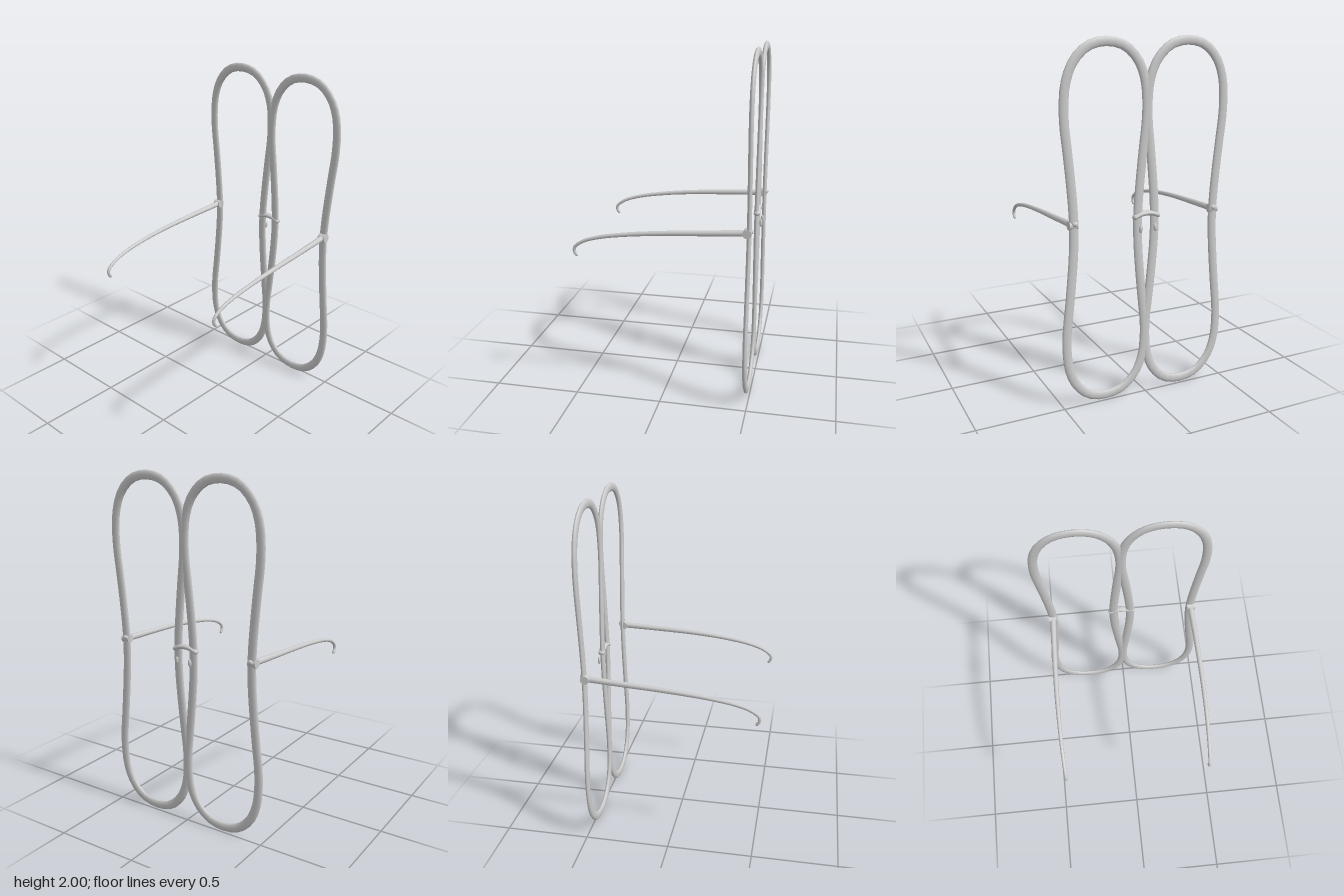
import * as THREE from 'three';

const material = new THREE.MeshStandardMaterial({ color: 0xcccccc });
const FRAME_Z = -0.483;

function add(group, name, geometry, x = 0, y = 0, z = 0) {
  const mesh = new THREE.Mesh(geometry, material);
  mesh.name = name;
  mesh.position.set(x, y, z);
  group.add(mesh);
  return mesh;
}

// Smooth tube through the points, narrowing from r0 to r1
function taperedTube(points, r0, r1, segments, sides) {
  const curve = new THREE.CatmullRomCurve3(points);
  const geometry = new THREE.TubeGeometry(curve, segments, r0, sides);
  const pos = geometry.attributes.position;
  const v = new THREE.Vector3();
  for (let i = 0; i <= segments; i++) {
    const u = i / segments;
    const centre = curve.getPointAt(u);
    const k = THREE.MathUtils.lerp(1, r1 / r0, u);
    for (let j = 0; j <= sides; j++) {
      const n = i * (sides + 1) + j;
      v.fromBufferAttribute(pos, n).sub(centre).multiplyScalar(k).add(centre);
      pos.setXYZ(n, v.x, v.y, v.z);
    }
  }
  return geometry;
}

// Tall waisted rim: half-widths and heights above the waist, mirrored four ways
function rimGeometry() {
  const quarter = [[0.187, 0], [0.191, 0.12], [0.203, 0.27], [0.219, 0.43], [0.233, 0.56],
    [0.235, 0.67], [0.222, 0.78], [0.183, 0.875], [0.105, 0.95], [0, 0.974]];
  const half = [...quarter, ...quarter.slice(0, -1).reverse().map(([w, h]) => [-w, h])];
  const loop = [...half, ...half.slice(1, -1).reverse().map(([w, h]) => [w, -h])];
  const curve = new THREE.CatmullRomCurve3(loop.map(([w, h]) => new THREE.Vector3(w, h, 0)), true);
  return new THREE.TubeGeometry(curve, 96, 0.026, 14, true).scale(1, 1, 0.5);
}

export function createModel() {
  const model = new THREE.Group();
  model.name = 'eyeglasses';

  for (const [side, s] of [['left', 1], ['right', -1]]) {
    add(model, side + 'Rim', rimGeometry(), s * 0.239, 1, FRAME_Z);

    // Hinge barrel and the rivet behind it
    add(model, side + 'Hinge', new THREE.CylinderGeometry(0.025, 0.025, 0.048, 16).rotateZ(Math.PI / 2),
      s * 0.43, 1.035, -0.474);
    add(model, side + 'HingeRivet', new THREE.SphereGeometry(1, 12, 8).scale(0.017, 0.015, 0.013),
      s * 0.424, 1.045, -0.494);

    // Temple arm with its hooked ear end
    const path = [[0.428, 1.035, -0.475], [0.436, 1.022, -0.25], [0.441, 1.006, 0], [0.44, 0.985, 0.2],
      [0.436, 0.957, 0.36], [0.432, 0.925, 0.455], [0.43, 0.888, 0.503], [0.43, 0.862, 0.507],
      [0.43, 0.842, 0.494]].map(([x, y, z]) => new THREE.Vector3(s * x, y, z));
    add(model, side + 'Temple', taperedTube(path, 0.018, 0.009, 64, 10));
    const end = path[path.length - 1];
    add(model, side + 'TempleTip', new THREE.SphereGeometry(0.009, 10, 8), end.x, end.y, end.z);

    // Nose pad
    add(model, side + 'NosePad', new THREE.SphereGeometry(1, 12, 10).scale(0.011, 0.023, 0.009),
      s * 0.044, 0.977, -0.509).rotation.z = s * 0.12;
    // Rounded bridge end
    add(model, side + 'BridgeEnd', new THREE.SphereGeometry(1, 12, 8).scale(0.013, 0.015, 0.019),
      s * 0.07, 1.04, -0.486);
  }

  // Arched bridge, flattened front to back
  const arch = [[-0.07, 1.04], [-0.035, 1.053], [0, 1.057], [0.035, 1.053], [0.07, 1.04]]
    .map(([x, y]) => new THREE.Vector3(x, y, 0));
  add(model, 'bridge', taperedTube(arch, 0.014, 0.014, 24, 12).scale(1, 1, 1.35), 0, 0, -0.486);

  return model;
}
